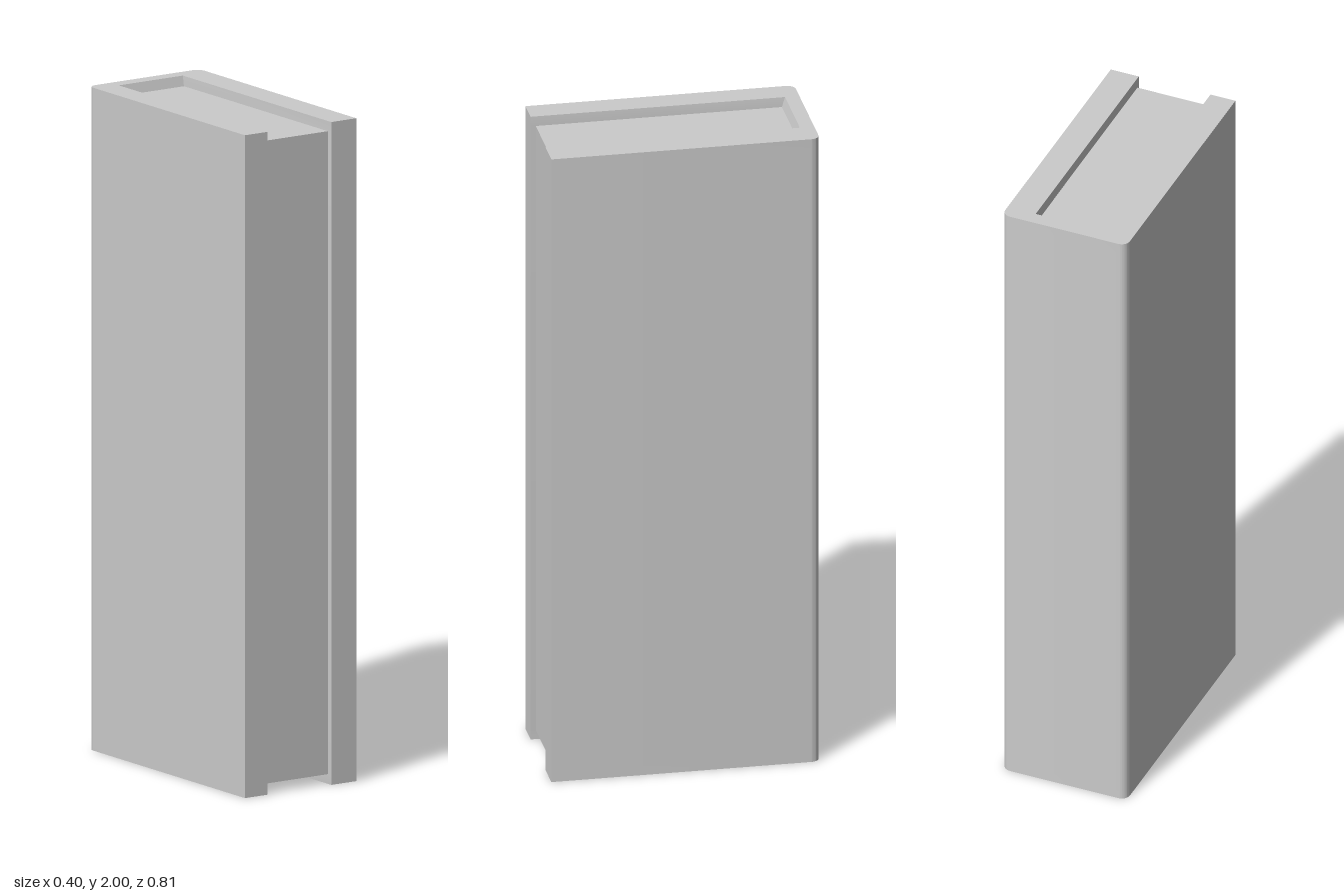
import * as THREE from 'three';
import { toCreasedNormals } from 'three/addons/utils/BufferGeometryUtils.js';

const HEIGHT = 2, LIP = 0.03;          // LIP: how far the cover overhangs the page block
const LEFT = 0.11, RIGHT = -0.12;      // inner faces of the two boards
const HALF_W = 0.2, HALF_D = 0.403, R = 0.026;
const SPINE = 0.36;                    // inner face of the spine, measured towards the back

export function createModel() {
  const book = new THREE.Group();
  book.name = 'book';
  const material = new THREE.MeshStandardMaterial({ color: 0xcccccc });

  // Cover: U-shaped section (shape y points to the back) with a rounded spine
  const u = new THREE.Shape();
  u.moveTo(RIGHT, -HALF_D);
  u.lineTo(RIGHT, SPINE);
  u.lineTo(LEFT, SPINE);
  u.lineTo(LEFT, -HALF_D);
  u.lineTo(HALF_W, -HALF_D);
  u.lineTo(HALF_W, HALF_D - R);
  u.absarc(HALF_W - R, HALF_D - R, R, 0, Math.PI / 2);
  u.lineTo(-HALF_W + R, HALF_D);
  u.absarc(-HALF_W + R, HALF_D - R, R, Math.PI / 2, Math.PI);
  u.lineTo(-HALF_W, -HALF_D);
  u.closePath();

  let coverGeo = new THREE.ExtrudeGeometry(u, {
    depth: HEIGHT, steps: 3, bevelEnabled: false, curveSegments: 6,
  });
  coverGeo.rotateX(-Math.PI / 2);

  // Inner walls slope in towards the page block at the top and bottom
  const p = coverGeo.attributes.position;
  for (let i = 0; i < p.count; i++) {
    const x = p.getX(i), y = p.getY(i), z = p.getZ(i);
    if (y < 0.1 || y > HEIGHT - 0.1) continue;
    p.setY(i, y < HEIGHT / 2 ? LIP : HEIGHT - LIP);
    if (Math.abs(z + SPINE) < 1e-4 && x > RIGHT - 1e-4 && x < LEFT + 1e-4) {
      p.setZ(i, z + 0.01);
      p.setX(i, x - Math.sign(x) * 0.003);
    }
  }
  coverGeo = toCreasedNormals(coverGeo, 0.29);
  const cover = new THREE.Mesh(coverGeo, material);
  cover.name = 'cover';
  book.add(cover);

  // Page block, set back from the cover on three sides
  const back = -SPINE + 0.009, front = 0.388;
  const pages = new THREE.Mesh(
    new THREE.BoxGeometry(LEFT - RIGHT - 0.004, HEIGHT - 2 * LIP, front - back), material);
  pages.position.set((LEFT + RIGHT) / 2, HEIGHT / 2, (front + back) / 2);
  pages.name = 'pages';
  book.add(pages);

  return book;
}
